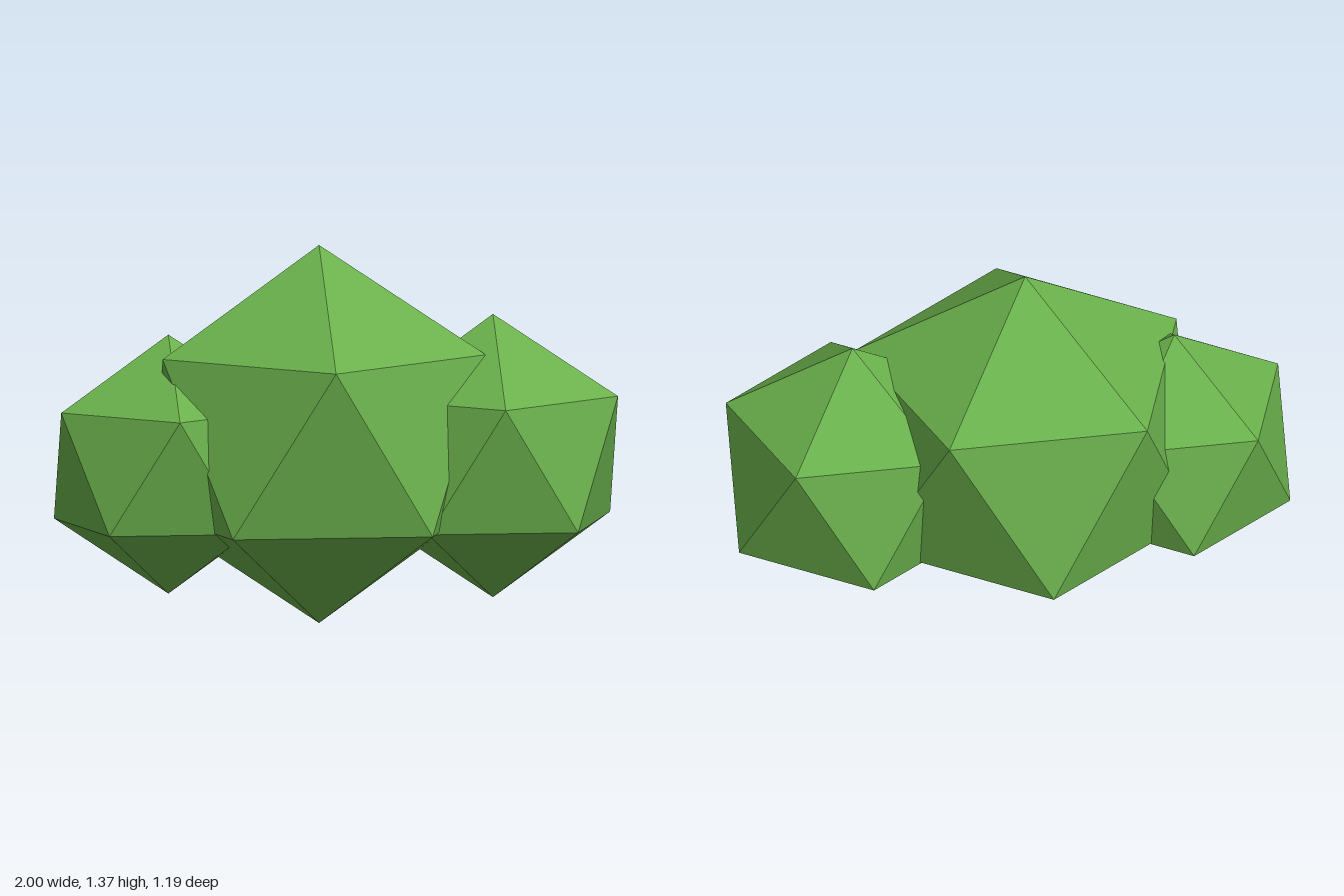
import * as THREE from 'three';

export function createModel() {
  const group = new THREE.Group();
  group.name = 'bush';

  const leafGreen = new THREE.MeshStandardMaterial({ color: 0x6ab04c, flatShading: true });
  leafGreen.name = 'leafGreen';

  // Icosahedron turned to stand on one corner, with an upper-ring corner towards +x
  const tilt = Math.atan(2 / (1 + Math.sqrt(5)));
  const addClump = (name, radius, x, y, z) => {
    const geometry = new THREE.IcosahedronGeometry(radius, 0).rotateZ(-tilt);
    const mesh = new THREE.Mesh(geometry, leafGreen);
    mesh.name = name;
    mesh.position.set(x, y, z);
    group.add(mesh);
  };

  // Three overlapping foliage clumps
  addClump('middleClump', 0.686, -0.063, 0.688, 0.011);
  addClump('leftClump', 0.514, 0.539, 0.604, -0.16);
  addClump('rightClump', 0.47, -0.58, 0.587, 0.18);

  return group;
}
